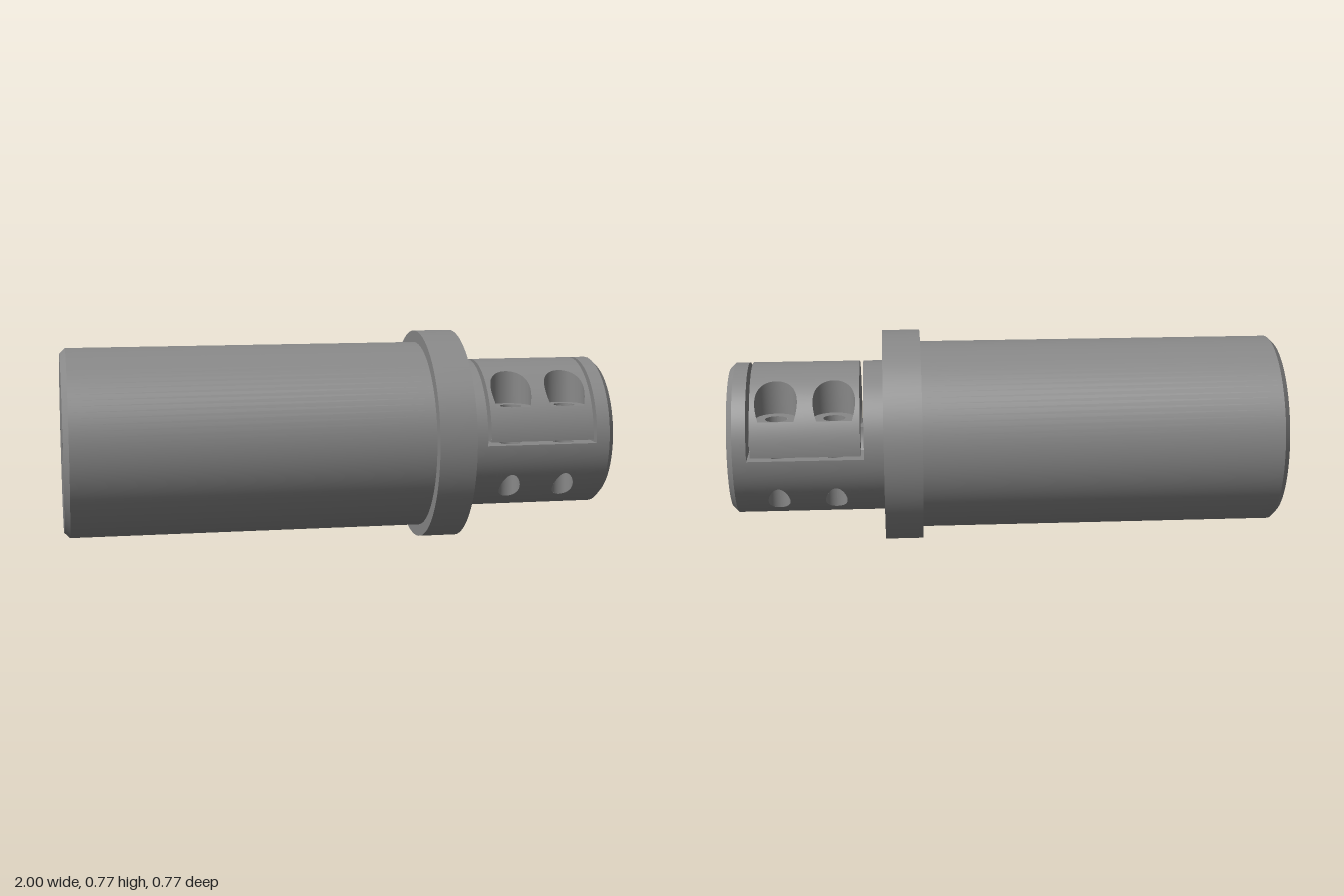
import * as THREE from 'three';
import { mergeGeometries } from 'three/addons/utils/BufferGeometryUtils.js';

// Sizes; the axis runs along x through the local origin
const AXIS = 0.386, R_HUB = 0.275, R_BORE = 0.152;
const FLANGE_X = [0.31, 0.446], R_FLANGE = 0.386;
const SLOT = [0.517, 0.931], CAP = [0.53, 0.918];     // x extents of window and cap
const Y_SEAT = -0.013, Y_CAP = 0;                     // faces of the split line
const BOLT_X = [0.62, 0.825], BOLT_Z = 0.205, R_BOLT = 0.039, R_SINK = 0.075, Y_SINK = 0.123;
const BORE_END = 0.485, KEY_HALF = 0.042, Y_KEY = -0.19;
const DRAIN_X = 0.545, R_DRAIN = 0.055;
const HALF = Math.PI / 2, TAU = Math.PI * 2;

const chord = (r, d) => Math.sqrt(Math.max(0, r * r - d * d));
const arc = (cx, cy, r, a0, a1, n = 48) => Array.from({ length: n + 1 }, (_, i) => {
  const a = a0 + (a1 - a0) * i / n;
  return [cx + r * Math.cos(a), cy + r * Math.sin(a)];
});
const ring = (cx, cy, r) => arc(cx, cy, r, 0, TAU, 96).slice(0, -1);

// Flat outline with holes, cut into a list of 2D triangles
function triangles(outline, holes = []) {
  const v = p => new THREE.Vector2(p[0], p[1]);
  const shape = new THREE.Shape(outline.map(v));
  holes.forEach(h => shape.holes.push(new THREE.Path(h.map(v))));
  const g = new THREE.ShapeGeometry(shape).toNonIndexed(), p = g.attributes.position;
  const list = [];
  for (let i = 0; i < p.count; i += 3) list.push([0, 1, 2].map(k => [p.getX(i + k), p.getY(i + k)]));
  return list;
}

function build(points, normals) {
  const g = new THREE.BufferGeometry();
  g.setAttribute('position', new THREE.Float32BufferAttribute(points, 3));
  if (normals) g.setAttribute('normal', new THREE.Float32BufferAttribute(normals, 3));
  else g.computeVertexNormals();
  return g;
}

// Plane face: map(u, v) gives the 3D point, flip turns it round
function face(outline, holes, map, flip = false) {
  const pts = [];
  for (const t of triangles(outline, holes))
    for (const p of flip ? [t[0], t[2], t[1]] : t) pts.push(...map(p[0], p[1]));
  return build(pts);
}

// Outline in (x, angle) wrapped on a cylinder; side is +z or -z, facing is out (1) or in (-1)
function wrap(outline, holes, r, side, facing) {
  const pts = [], nor = [], flip = side * facing < 0;
  const emit = t => {
    const d = [0, 1, 2].map(k => Math.abs(t[k][1] - t[(k + 1) % 3][1]));
    const k = d.indexOf(Math.max(...d));
    if (d[k] > 0.08) {
      const [a, b, c] = [t[k], t[(k + 1) % 3], t[(k + 2) % 3]];
      const m = [(a[0] + b[0]) / 2, (a[1] + b[1]) / 2];
      emit([a, m, c]);
      emit([m, b, c]);
      return;
    }
    for (const [x, a] of flip ? [t[0], t[2], t[1]] : t) {
      const y = Math.sin(a), z = side * Math.cos(a);
      pts.push(x, r * y, r * z);
      nor.push(0, facing * y, facing * z);
    }
  };
  triangles(outline, holes).forEach(emit);
  return build(pts, nor);
}

// Ruled strip between two curves a(t) and b(t)
function ruled(a, b, n = 48) {
  const pts = [], idx = [];
  for (let i = 0; i <= n; i++) pts.push(...a(i / n), ...b(i / n));
  for (let i = 0; i < n; i++) idx.push(2 * i, 2 * i + 1, 2 * i + 2, 2 * i + 1, 2 * i + 3, 2 * i + 2);
  const g = build(pts);
  g.setIndex(idx);
  g.computeVertexNormals();
  return g.toNonIndexed();
}

// Upright drilled wall from yLow(x, z) to yHigh(x, z)
function drilled(cx, cz, r, a0, a1, yLow, yHigh) {
  const at = f => t => {
    const a = a0 + (a1 - a0) * t, x = cx + r * Math.sin(a), z = cz + r * Math.cos(a);
    return [x, f(x, z), z];
  };
  return ruled(at(yHigh), at(yLow));
}

// Turned surface through (x, radius) points, every edge kept sharp
function turned(profile) {
  return profile.slice(1).map((q, i) => {
    const p = profile[i];
    const g = new THREE.LatheGeometry([new THREE.Vector2(p[1], p[0]), new THREE.Vector2(q[1], q[0])], 96);
    g.rotateZ(-HALF);
    g.deleteAttribute('uv');
    return g.toNonIndexed();
  });
}

// Half of a hub shell, with the clamp window and the drain hole cut from its edges
function halfShell(r, x0, x1, drainEnd) {
  const s = Math.asin(Y_SEAT / r);
  const drain = arc(0, 0, R_DRAIN, Math.PI, drainEnd, 24)
    .map(([x, z]) => [DRAIN_X + x, -HALF + Math.asin(z / r)]);
  return [[x1, drain.at(-1)[1]], [x1, HALF], [SLOT[1], HALF], [SLOT[1], s], [SLOT[0], s],
    [SLOT[0], HALF], [x0, HALF], [x0, -HALF], ...drain];
}

// Upper half ring in a plane of constant x
function halfRing(x, y, flip) {
  const a = Math.asin(y / R_HUB), b = Math.asin(y / R_BORE);
  const outline = [...arc(0, 0, R_HUB, a, Math.PI - a), ...arc(0, 0, R_BORE, Math.PI - b, b)];
  return face(outline, [], (z, h) => [x, h, z], flip);
}

// One side of the split face with its two bolt holes
function splitFace([x0, x1], y, side, up) {
  const a = chord(R_BORE, y), b = chord(R_HUB, y);
  return face([[x0, a], [x1, a], [x1, b], [x0, b]], BOLT_X.map(x => ring(x, BOLT_Z, R_BOLT)),
    (x, z) => [x, y, side * z], (side > 0) === up);
}

export function createModel() {
  const group = new THREE.Group();
  const material = new THREE.MeshStandardMaterial({ color: 0x888888, side: THREE.DoubleSide });
  const add = (name, parts) => {
    const mesh = new THREE.Mesh(mergeGeometries(parts), material);
    mesh.name = name;
    mesh.position.y = AXIS;
    group.add(mesh);
  };

  // Main shank with two blind holes in the back end
  const shank = turned([[-1, 0.323], [-0.98, 0.343], [FLANGE_X[0], 0.343]]);
  const pinZ = [-0.175, 0.175], pinR = 0.044;
  shank.push(face(ring(0, 0, 0.323), pinZ.map(z => ring(z, 0, pinR)), (z, y) => [-1, y, z]));
  for (const z of pinZ) {
    const circle = x => t => [x, pinR * Math.sin(t * TAU), z + pinR * Math.cos(t * TAU)];
    shank.push(ruled(circle(-1), circle(-0.8)));
    shank.push(face(ring(z, 0, pinR), [], (w, y) => [-0.8, y, w]));
  }
  add('shank', shank);

  add('flange', turned([[FLANGE_X[0], 0.343], [FLANGE_X[0], R_FLANGE], [FLANGE_X[1], R_FLANGE], [FLANGE_X[1], R_HUB]]));

  // Hub: chamfer, keyed end face, bore end
  const keyAngle = Math.asin(KEY_HALF / R_BORE), drainKey = Math.asin(KEY_HALF / R_DRAIN);
  const keyStart = DRAIN_X + chord(R_DRAIN, KEY_HALF);
  const keyedBore = [...arc(0, 0, R_BORE, -HALF + keyAngle, 3 * HALF - keyAngle, 96), [-KEY_HALF, Y_KEY], [KEY_HALF, Y_KEY]];
  const hub = turned([[0.98, R_HUB], [1, 0.255]]);
  hub.push(face(ring(0, 0, 0.255), [keyedBore], (z, y) => [1, y, z], true));
  hub.push(face(ring(0, 0, R_BORE), [], (z, y) => [BORE_END, y, z], true));
  hub.push(halfRing(SLOT[0], Y_SEAT, true), halfRing(SLOT[1], Y_SEAT, false));

  // Keyway floor and drain hole through the underside
  const underside = (x, z) => -chord(R_HUB, z), boreFloor = (x, z) => -chord(R_BORE, z);
  const keyEdge = arc(DRAIN_X, 0, R_DRAIN, drainKey, -drainKey, 16);
  hub.push(face([[1, -KEY_HALF], [1, KEY_HALF], ...keyEdge], [], (x, z) => [x, Y_KEY, z], true));
  hub.push(drilled(DRAIN_X, 0, R_DRAIN, HALF - drainKey, HALF + drainKey, underside, () => Y_KEY));
  hub.push(drilled(DRAIN_X, 0, R_DRAIN, HALF + drainKey, TAU + HALF - drainKey, underside, boreFloor));

  // Clamp cap: separate half ring held by four sunk bolts
  const cap = [halfRing(CAP[0], Y_CAP, false), halfRing(CAP[1], Y_CAP, true)];
  const sinkEdge = chord(R_HUB, Y_SINK), a0 = Math.acos((sinkEdge - BOLT_Z) / R_SINK);
  const sinkArc = x => arc(0, 0, R_SINK, a0, TAU - a0).map(([z, w]) => [x + w, BOLT_Z + z]);
  const onHub = sign => ([x, z]) => [x, sign * Math.acos(Math.min(1, z / R_HUB))];
  const capPatch = r => {
    const a = Math.asin(Y_CAP / r);
    return [[CAP[0], a], [CAP[1], a], [CAP[1], HALF], [CAP[0], HALF]];
  };

  for (const side of [1, -1]) {
    const boltExits = BOLT_X.map(x => ring(x, BOLT_Z, R_BOLT).map(onHub(-1)));
    hub.push(wrap(halfShell(R_HUB, FLANGE_X[1], 0.98, 0), boltExits, R_HUB, side, 1));
    hub.push(wrap(halfShell(R_BORE, BORE_END, 1, drainKey), [], R_BORE, side, -1));
    hub.push(splitFace(SLOT, Y_SEAT, side, true));
    const z = side * KEY_HALF, yTop = -chord(R_BORE, KEY_HALF);
    hub.push(ruled(t => [keyStart + (1 - keyStart) * t, Y_KEY, z], t => [keyStart + (1 - keyStart) * t, yTop, z], 1));

    cap.push(wrap(capPatch(R_HUB), BOLT_X.map(x => sinkArc(x).map(onHub(1))), R_HUB, side, 1));
    cap.push(wrap(capPatch(R_BORE), [], R_BORE, side, -1));
    cap.push(splitFace(CAP, Y_CAP, side, false));

    for (const x of BOLT_X) {
      const zc = side * BOLT_Z, turn = side > 0 ? 0 : Math.PI;
      hub.push(drilled(x, zc, R_BOLT, 0, TAU, underside, () => Y_SEAT));
      cap.push(drilled(x, zc, R_BOLT, 0, TAU, () => Y_CAP, () => Y_SINK));
      cap.push(drilled(x, zc, R_SINK, turn + a0, turn + TAU - a0, () => Y_SINK, (u, w) => chord(R_HUB, w)));
      cap.push(face(sinkArc(x), [ring(x, BOLT_Z, R_BOLT)], (u, w) => [u, Y_SINK, side * w], side > 0));
    }
  }
  add('clampHub', hub);
  add('clampCap', cap);
  return group;
}
